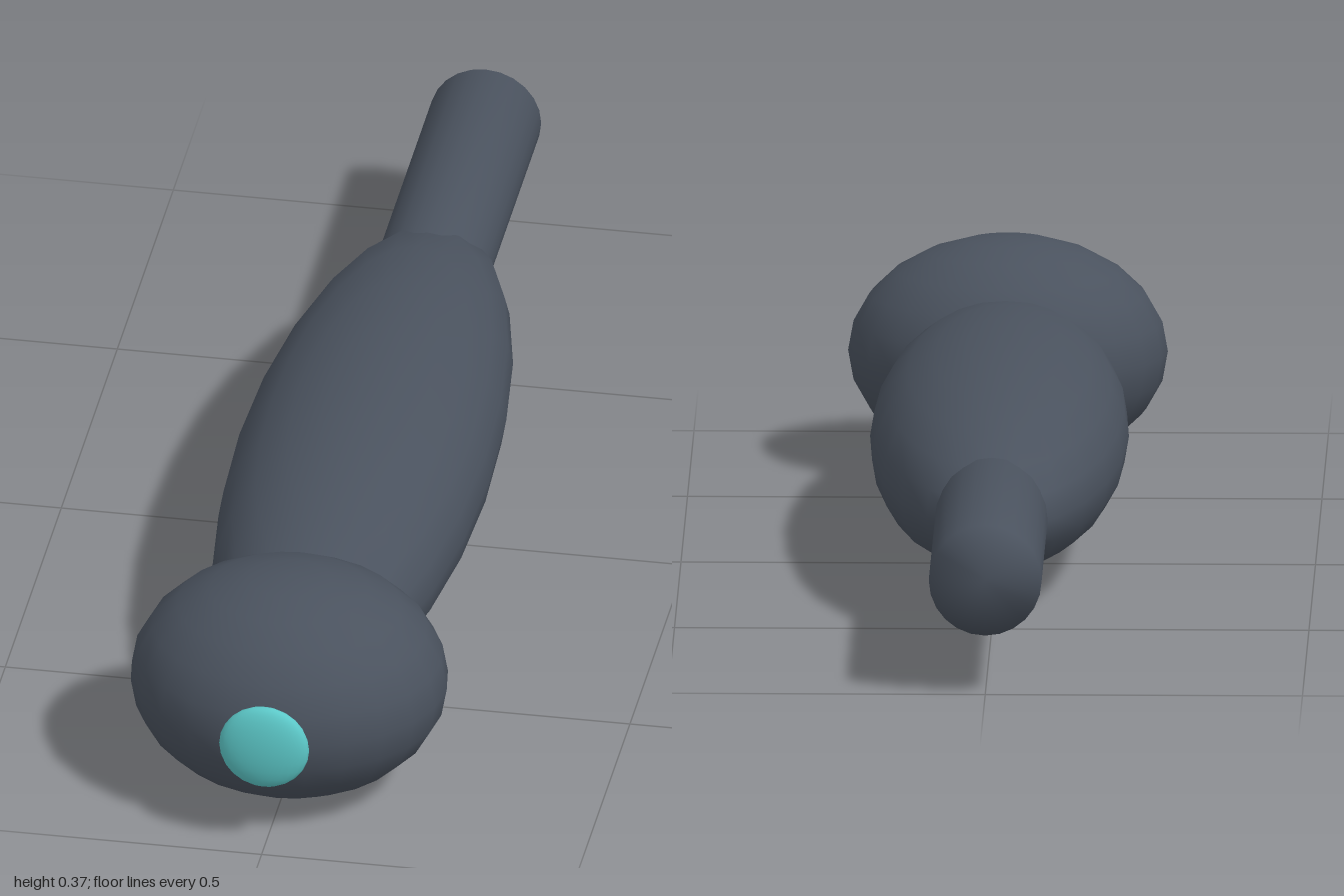
import * as THREE from 'three';

export function createModel() {
  const model = new THREE.Group();
  const dark = new THREE.MeshStandardMaterial({ color: 0x4a525e });
  const teal = new THREE.MeshStandardMaterial({ color: 0x5cc8c8 });
  const axisY = 0.186;

  // Smooth ellipsoid centred on the long axis
  function ellipsoid(name, material, z, rx, ry, rz) {
    const geometry = new THREE.SphereGeometry(1, 24, 12);
    geometry.scale(rx, ry, rz);
    const mesh = new THREE.Mesh(geometry, material);
    mesh.name = name;
    mesh.position.set(0, axisY, z);
    model.add(mesh);
  }

  ellipsoid('head', dark, 0.752, 0.252, 0.184, 0.225);
  ellipsoid('handleGrip', dark, 0.1, 0.204, 0.157, 0.72);
  ellipsoid('frontButton', teal, 0.977, 0.072, 0.072, 0.023);

  // Cable sleeve: capped cylinder whose shading runs softly over the rim
  const r = 0.089;
  const profile = [[0, -0.3], [r, -0.3], [r, 0.3], [0, 0.3]].map(([x, y]) => new THREE.Vector2(x, y));
  const sleeve = new THREE.Mesh(new THREE.LatheGeometry(profile, 24), dark);
  sleeve.name = 'cableSleeve';
  sleeve.rotation.x = Math.PI / 2;
  sleeve.position.set(0, axisY, -0.7);
  model.add(sleeve);

  return model;
}
